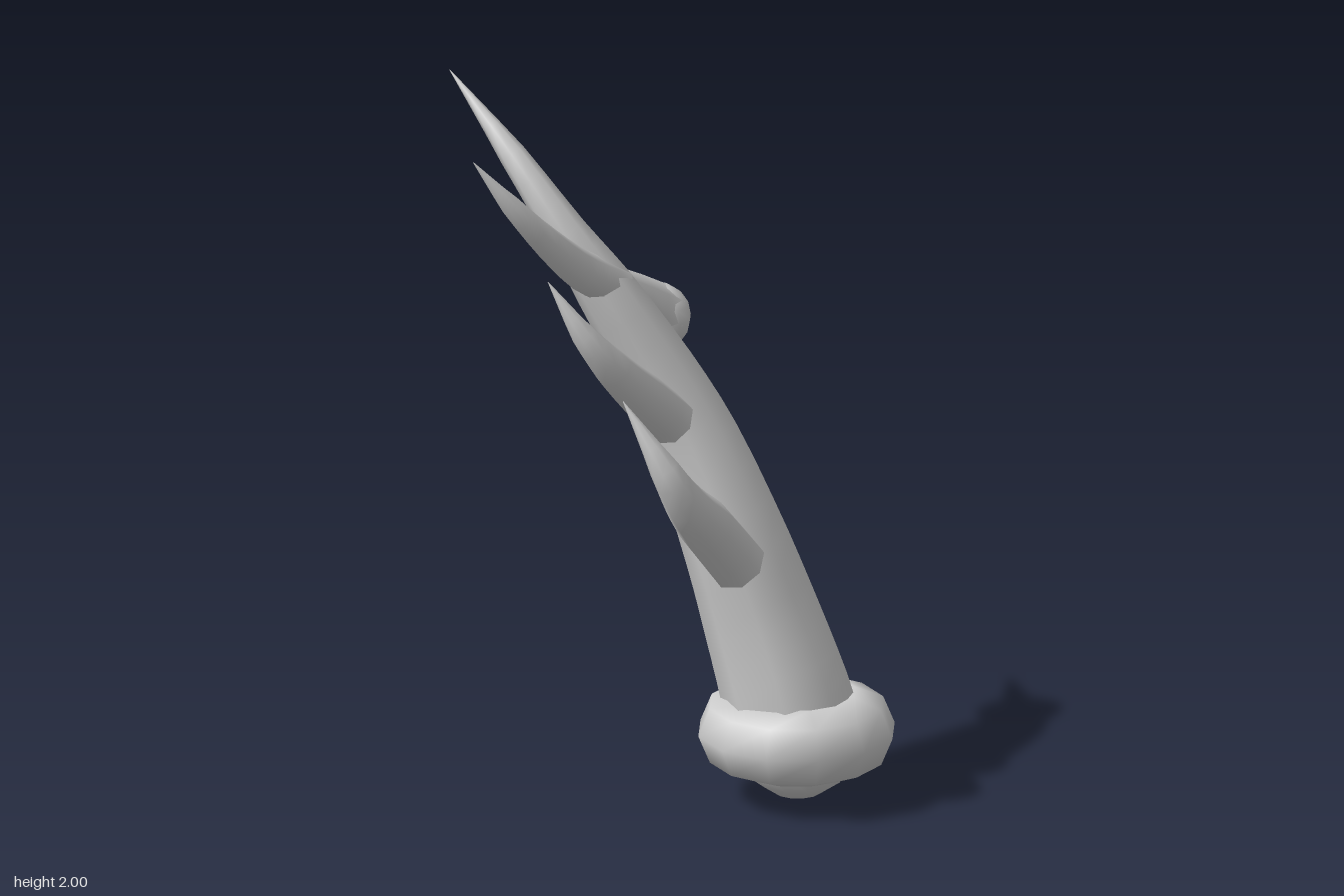
import * as THREE from 'three';

const material = new THREE.MeshStandardMaterial({ color: 0xcccccc });
const v = (x, y, z) => new THREE.Vector3(x, y, z);

// Smooth tapering tube through stations [x, y, z, radius], closed at both ends
function taperedTube(stations, sides, rings, reference) {
  const curve = new THREE.CatmullRomCurve3(stations.map(s => v(s[0], s[1], s[2])));
  const positions = [], index = [];
  const last = stations.length - 1;
  for (let i = 0; i <= rings; i++) {
    const t = i / rings;
    const k = Math.min(Math.floor(t * last), last - 1);
    const radius = THREE.MathUtils.lerp(stations[k][3], stations[k + 1][3], t * last - k);
    const centre = curve.getPoint(t);
    const tangent = curve.getTangent(t);
    const a = reference.clone().addScaledVector(tangent, -reference.dot(tangent)).normalize();
    const b = tangent.clone().cross(a);
    for (let j = 0; j < sides; j++) {
      const angle = j / sides * Math.PI * 2;
      const p = centre.clone()
        .addScaledVector(a, Math.cos(angle) * radius)
        .addScaledVector(b, Math.sin(angle) * radius);
      positions.push(p.x, p.y, p.z);
    }
  }
  for (let i = 0; i < rings; i++) {
    for (let j = 0; j < sides; j++) {
      const p = i * sides + j, q = i * sides + (j + 1) % sides;
      index.push(p, q, q + sides, p, q + sides, p + sides);
    }
  }
  // Flat cap on the thick end, with its own vertices for a hard edge
  const base = positions.length / 3;
  positions.push(...positions.slice(0, sides * 3));
  for (let j = 1; j < sides - 1; j++) index.push(base, base + j + 1, base + j);

  const geometry = new THREE.BufferGeometry();
  geometry.setAttribute('position', new THREE.Float32BufferAttribute(positions, 3));
  geometry.setIndex(index);
  geometry.computeVertexNormals();
  return geometry;
}

export function createModel() {
  const group = new THREE.Group();
  const add = (name, geometry, x = 0, y = 0, z = 0) => {
    const mesh = new THREE.Mesh(geometry, material);
    mesh.name = name;
    mesh.position.set(x, y, z);
    group.add(mesh);
    return mesh;
  };

  // Swollen ring and rounded root at the foot
  add('baseRing', new THREE.TorusGeometry(0.165, 0.11, 8, 12).rotateX(Math.PI / 2), 0.255, 0.19, 0.295);
  add('root', new THREE.SphereGeometry(0.17, 12, 8), 0.255, 0.17, 0.3);

  // Eight-sided main beam, leaning back and sideways to a point
  add('mainBeam', taperedTube([
    [0.25, 0.15, 0.31, 0.185],
    [0.235, 0.3, 0.27, 0.178],
    [0.205, 0.5, 0.21, 0.163],
    [0.165, 0.7, 0.155, 0.148],
    [0.1, 1.0, 0.05, 0.125],
    [0.03, 1.2, -0.025, 0.107],
    [-0.08, 1.44, -0.115, 0.083],
    [-0.155, 1.6, -0.19, 0.059],
    [-0.215, 1.8, -0.34, 0.038],
    [-0.25, 2.0, -0.557, 0.001],
  ], 8, 27, v(1, 0, 0)));

  // Three curved tines along the right side, lowest first
  const tines = [
    [[0.08, 0.7, 0.245, 0.082], [-0.07, 0.85, 0.285, 0.079], [-0.17, 0.945, 0.315, 0.062],
      [-0.24, 1.06, 0.3, 0.043], [-0.3, 1.245, 0.198, 0.001]],
    [[-0.01, 1.09, 0.07, 0.073], [-0.13, 1.19, 0.1, 0.069], [-0.26, 1.305, 0.12, 0.055],
      [-0.35, 1.42, 0.095, 0.036], [-0.415, 1.572, 0.02, 0.001]],
    [[-0.05, 1.445, -0.105, 0.06], [-0.19, 1.525, -0.088, 0.056], [-0.33, 1.64, -0.073, 0.044],
      [-0.44, 1.765, -0.1, 0.03], [-0.53, 1.9, -0.157, 0.001]],
  ];
  tines.forEach((stations, i) => add('tine' + (i + 1), taperedTube(stations, 8, 12, v(0, 0, 1))));

  // Blunt branch widening to a rounded end
  add('bluntBranch', taperedTube([
    [-0.09, 1.455, -0.11, 0.06],
    [0.03, 1.375, -0.133, 0.079],
    [0.15, 1.295, -0.155, 0.093],
  ], 8, 4, v(0, 0, 1)));
  add('bluntBranchEnd', new THREE.SphereGeometry(0.095, 12, 8), 0.15, 1.295, -0.155);

  // Small bud on the left side of the beam
  add('bud', new THREE.SphereGeometry(0.08, 10, 8), 0.165, 0.985, 0.012);

  return group;
}
